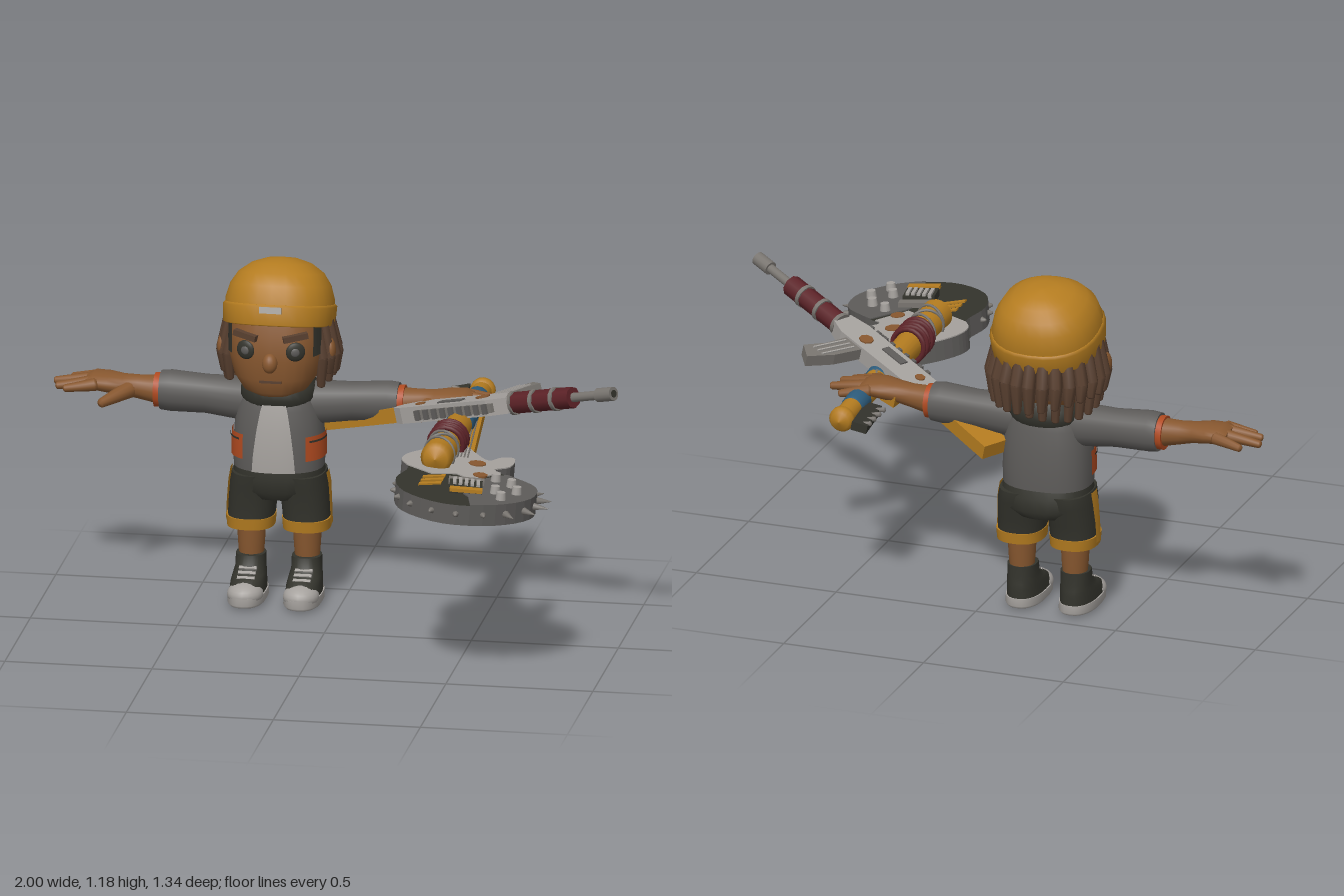
import * as THREE from 'three';

const mat = (name, color) => Object.assign(new THREE.MeshStandardMaterial({ color, side: THREE.DoubleSide }), { name });
const V = (x, y, z) => new THREE.Vector3(x, y, z);

function add(parent, name, geo, material, pos = [0, 0, 0], rot = [0, 0, 0], scale = [1, 1, 1]) {
  const m = new THREE.Mesh(geo, material);
  m.name = name;
  m.position.set(...pos); m.rotation.set(...rot); m.scale.set(...scale);
  parent.add(m);
  return m;
}

// Skin over rings [y, rx, rz, cx, cz]; arc(i) gives [from, to] angles measured from +z
function loft(rings, { n = 28, p = 2.4, arc, grow = 0 } = {}) {
  const pos = [], idx = [], w = n + 1;
  const se = v => Math.sign(v) * Math.abs(v) ** (2 / p);
  rings.forEach(([y, rx, rz, cx = 0, cz = 0], i) => {
    const [a, b] = arc ? arc(i) : [0, Math.PI * 2];
    for (let j = 0; j <= n; j++) {
      const t = a + (b - a) * (arc ? j : j % n) / n;
      pos.push(cx + (rx + grow) * se(Math.sin(t)), y, cz + (rz + grow) * se(Math.cos(t)));
    }
  });
  for (let i = 0; i < rings.length - 1; i++) for (let j = 0; j < n; j++) {
    const a = i * w + j, b = arc ? a + 1 : i * w + (j + 1) % n;
    idx.push(a, b, a + w, b, b + w, a + w);
  }
  if (!arc) [0, rings.length - 1].forEach((r, top) => {
    const start = pos.length / 3, [y, , , cx = 0, cz = 0] = rings[r];
    pos.push(cx, y, cz);
    for (let j = 0; j < n; j++) pos.push(...pos.slice((r * w + j) * 3, (r * w + j) * 3 + 3));
    for (let j = 0; j < n; j++) {
      const a = start + 1 + j, b = start + 1 + (j + 1) % n;
      idx.push(start, ...(top ? [a, b] : [b, a]));
    }
  });
  const g = new THREE.BufferGeometry();
  g.setAttribute('position', new THREE.Float32BufferAttribute(pos, 3));
  g.setIndex(idx);
  g.computeVertexNormals();
  return g;
}

// Rounded, tapering rod from a to b
function limb(a, b, r0, r1, n = 10) {
  const L = a.distanceTo(b);
  const pts = [[0, -r0 * .6], [r0 * .75, -r0 * .35], [r0, 0], [r1, L], [r1 * .75, L + r1 * .35], [0, L + r1 * .6]];
  const g = new THREE.LatheGeometry(pts.map(q => new THREE.Vector2(...q)), n);
  g.applyQuaternion(new THREE.Quaternion().setFromUnitVectors(V(0, 1, 0), b.clone().sub(a).normalize()));
  return g.translate(a.x, a.y, a.z);
}
const box = (x, y, z) => new THREE.BoxGeometry(x, y, z);
const ball = () => new THREE.SphereGeometry(1, 20, 14);
const shapeOf = pts => new THREE.Shape(pts.map(p => new THREE.Vector2(...p)));
const plate = (pts, depth) => new THREE.ExtrudeGeometry(shapeOf(pts), { depth, bevelEnabled: false });

export function createModel() {
  const gold = mat('gold', 0xb47c20), skin = mat('skin', 0x87572f), hair = mat('hair', 0x594030);
  const grey = mat('jacketGrey', 0x5d5b59), dark = mat('charcoal', 0x33332c), pale = mat('paleGrey', 0xa5a19d);
  const orange = mat('orange', 0xb04a20), red = mat('darkRed', 0x5c2227), blue = mat('blue', 0x2d5c7c), steel = mat('steel', 0x78746f);
  const model = new THREE.Group();
  const body = new THREE.Group();
  body.name = 'character';
  body.position.set(-.22, 0, -.39);
  model.add(body);

  // Torso, open jacket front, pockets and collar
  const torso = [[.46, .152, .127], [.52, .154, .128], [.6, .15, .122], [.67, .14, .112], [.72, .12, .1], [.755, .09, .08]];
  add(body, 'jacket', loft(torso), grey);
  const shirtHalf = [.42, .38, .32, .26, .2, .2];
  add(body, 'shirt', loft(torso.slice(0, 5), { n: 10, grow: .004, arc: i => [-shirtHalf[i], shirtHalf[i]] }), pale);
  const pocket = [[.5, .154, .128], [.54, .154, .127], [.585, .152, .124]];
  for (const s of [1, -1]) {
    const mid = s * 1.15;
    add(body, 'pocket', loft(pocket, { n: 10, grow: .006, arc: () => [mid - .48, mid + .48] }), orange);
    add(body, 'pocketSlit', loft([[.565, .154, .126], [.572, .154, .126]], { n: 8, grow: .009, arc: () => [mid - .38, mid + .38] }), dark);
  }
  add(body, 'collar', loft([[.685, .118, .108], [.71, .13, .12], [.745, .126, .118], [.77, .1, .1]]), dark);

  // Head and face
  const head = [[.735, .06, .07, 0, .08], [.752, .11, .125, 0, .045], [.8, .145, .162, 0, .022], [.87, .163, .176, 0, .015],
    [.95, .165, .176, 0, .012], [1.04, .15, .155]];
  add(body, 'head', loft(head, { p: 2.6 }), skin);
  add(body, 'nose', ball(), skin, [0, .865, .192], [-.2, 0, 0], [.026, .034, .026]);
  add(body, 'mouth', box(.075, .008, .012), hair, [0, .797, .181]);
  for (const s of [1, -1]) {
    add(body, 'eye', ball(), dark, [s * .085, .905, .176], [0, s * .35, 0], [.033, .033, .011]);
    add(body, 'iris', ball(), grey, [s * .085, .905, .182], [0, s * .35, 0], [.017, .017, .008]);
    add(body, 'eyebrow', box(.085, .02, .022), hair, [s * .085, .956, .178], [0, s * .35, s * .16]);
    add(body, 'ear', ball(), skin, [s * .178, .88, .05], [0, s * .3, 0], [.022, .045, .036]);
    add(body, 'sideburn', loft([[.88, .163, .176, 0, .014], [.99, .163, .17, 0, .01]],
      { n: 6, p: 2.6, grow: .004, arc: () => [s * 1.05 - .15, s * 1.05 + .15] }), dark);
  }

  // Hair shell and hanging locks in two staggered layers
  add(body, 'hairShell', loft(head.slice(2), { p: 2.6, grow: .01, arc: () => [1.5, Math.PI * 2 - 1.5] }), hair);
  const wob = i => Math.sin(i * 12.9898) * .5 + .5;
  for (let layer = 0; layer < 2; layer++) for (let i = 0; i < 17; i++) {
    const t = 1.08 + (i + layer * .5) * (Math.PI * 2 - 2.16) / (17 - 1 + layer), k = wob(i + layer * 20);
    const at = (r, y, back) => V(Math.sin(t) * r, y, Math.cos(t) * r - back);
    const bottom = .735 + k * .05 + layer * .025, r = .165 + layer * .012;
    const mid = at(r + .016, .86, .004);
    add(body, 'lock', limb(at(r - .012, 1.0 - (1 - Math.cos(t)) * .02, 0), mid, .022, .022, 7), hair);
    add(body, 'lock', limb(mid, at(r + .003 + k * .012, bottom, .012), .022, .014, 7), hair);
  }

  // Tilted beanie with folded band and tag
  const cap = new THREE.Group();
  cap.name = 'beanie';
  cap.position.set(0, .953, .004); cap.rotation.x = -.24;
  body.add(cap);
  add(cap, 'crown', loft([[.03, .18, .185], [.08, .182, .186], [.13, .168, .173], [.17, .142, .145, 0, -.004],
    [.2, .1, .105, 0, -.008], [.216, .05, .055, 0, -.01], [.22, .005, .005, 0, -.01]], { p: 2.3 }), gold);
  add(cap, 'band', loft([[-.004, .176, .182], [0, .186, .193], [.06, .19, .196], [.068, .182, .188]], { p: 2.3 }), gold);
  add(cap, 'tag', box(.075, .022, .008), pale, [0, .05, .197]);

  // Arms, hands, legs and shoes, mirrored
  for (const s of [1, -1]) {
    const side = new THREE.Group();
    side.name = s > 0 ? 'leftLimbs' : 'rightLimbs';
    side.scale.x = s;
    body.add(side);
    const along = rings => loft(rings, { p: 2.1, n: 20 }).rotateZ(-Math.PI / 2);
    add(side, 'sleeve', along([[.06, .075, .07, -.672], [.13, .074, .066, -.678, -.01], [.25, .066, .058, -.685, -.015],
      [.37, .07, .064, -.69, -.015], [.405, .066, .062, -.69, -.015]]), grey);
    add(side, 'cuff', along([[.4, .058, .056, -.69, -.015], [.425, .058, .056, -.69, -.015]]), orange);
    add(side, 'forearm', along([[.4, .05, .05, -.69, -.015], [.48, .04, .042, -.698, -.012], [.53, .035, .05, -.705, -.008],
      [.58, .034, .066, -.712, -.008], [.63, .03, .068, -.716, -.01], [.655, .016, .058, -.716, -.01]]), skin);
    const fingers = [[.62, -.062, .715, -.085], [.64, -.024, .765, -.028], [.64, .018, .75, .03], [.62, .048, .72, .058]];
    for (const [x0, z0, x1, z1] of fingers) add(side, 'finger', limb(V(x0, .715, z0), V(x1, .7, z1), .022, .013), skin);
    add(side, 'thumb', limb(V(.51, .695, .02), V(.585, .675, .125), .03, .016), skin);

    const leg = [[.26, .078, .09, .095, .002], [.33, .08, .095, .09], [.4, .08, .115, .085, -.006], [.44, .078, .118, .08, -.004]];
    add(side, 'shortsLeg', loft(leg), dark);
    add(side, 'shortsHem', loft([[.245, .08, .092, .095, .002], [.283, .083, .096, .095, .002]]), gold);
    add(side, 'shortsStripe', loft(leg, { n: 4, p: 2.1, grow: .007, arc: () => [Math.PI / 2 - .2, Math.PI / 2 + .2] }), gold);
    add(side, 'shin', loft([[.12, .04, .044, .095], [.18, .045, .05, .095], [.27, .05, .055, .095]], { p: 2 }), skin);
    add(side, 'sole', loft([[0, .06, .122, .095, .068], [.008, .065, .128, .095, .068], [.034, .064, .126, .095, .068]]), pale);
    add(side, 'shoe', loft([[.034, .06, .12, .095, .066], [.065, .058, .108, .095, .054], [.085, .055, .084, .095, .032],
      [.105, .051, .062, .095, .013], [.147, .05, .056, .095, .008]]), dark);
    add(side, 'toeCap', ball(), pale, [.095, .034, .125], [0, 0, 0], [.061, .042, .069]);
    for (let i = 0; i < 3; i++) add(side, 'lace', box(.06, .01, .012), pale, [.095, .082 + i * .012, .112 - i * .02], [.5, 0, 0]);
  }
  add(body, 'shortsSeat', loft([[.355, .1, .105, 0, -.01], [.385, .15, .125, 0, -.01], [.43, .157, .125, 0, -.005], [.475, .145, .115]]), dark);

  // Guitar body: outline in (x, z), laid flat and slightly tilted
  const guitar = new THREE.Group();
  guitar.name = 'guitar';
  guitar.position.set(.55, .602, 0); guitar.rotation.z = -.08;
  model.add(guitar);
  const outline = [[.39, .08], [.31, .18], [.3, .25], [.335, .32], [.315, .45], [.365, .58], [.515, .66], [.685, .615], [.785, .5],
    [.78, .375], [.685, .29], [.615, .24], [.66, .185], [.655, .09], [.615, .1], [.58, .15], [.52, .08], [.48, .03]];
  const pts = new THREE.CatmullRomCurve3(outline.map(([x, z]) => V(x - .55, -z, 0)), true).getPoints(72).slice(0, 72).map(p => [p.x, p.y]);
  const flat = (name, points, depth, y, m) => add(guitar, name, plate(points, depth).rotateX(-Math.PI / 2), m, [0, y, 0]);
  const pt = (x, z) => [x - .55, -z];
  flat('guitarBody', pts, .07, 0, [dark, grey]);
  flat('paleTop', [...pts.slice(0, 12), pt(.42, .36), pt(.5, .33), pt(.56, .37), ...pts.slice(42)], .004, .07, pale);
  flat('greyTop', [pt(.57, .38), pt(.52, .48), pt(.58, .56), ...pts.slice(26, 42)], .004, .07, grey);
  for (let i = 0; i < 3; i++)
    flat('warningStripe', [pt(.4, .4 + i * .04), pt(.47, .36 + i * .04), pt(.47, .38 + i * .04), pt(.4, .42 + i * .04)], .006, .07, gold);
  for (const [x, z, r] of [[.4, .2, .025], [.55, .2, .03], [.58, .32, .025]])
    add(guitar, 'rustSpot', new THREE.CylinderGeometry(r, r, .006, 9), skin, [x - .55, .074, z]);
  add(guitar, 'pickup', box(.12, .018, .035), steel, [0, .08, .42], [0, .15, 0]);
  add(guitar, 'bridge', box(.11, .03, .08), dark, [.01, .08, .49], [0, .15, 0]);
  add(guitar, 'bridgeBar', box(.11, .012, .03), gold, [.02, .092, .55], [0, .15, 0]);
  for (let i = 0; i < 5; i++) add(guitar, 'saddle', box(.012, .014, .06), pale, [-.03 + i * .02, .096, .485], [0, .15, 0]);
  for (const [x, z] of [[.64, .36], [.7, .4], [.66, .49], [.73, .47], [.69, .55]])
    add(guitar, 'knob', new THREE.CylinderGeometry(.015, .018, .03, 12), pale, [x - .55, .085, z]);
  for (let i = 15; i < 40; i += 2) {
    const [x, y] = pts[i], a = pts[i - 1], b = pts[i + 1];
    const out = V(b[1] - a[1], 0, b[0] - a[0]).normalize(), base = V(x, .038, -y);
    const big = i >= 28 && i < 38;
    add(guitar, big ? 'spike' : 'stud', limb(base, base.clone().addScaledVector(out, big ? .05 : .014), big ? .013 : .011, big ? .001 : .005, 8), steel);
  }

  // Bat used as the neck, with tape wraps, a fretted strip and a headstock
  const bat = new THREE.Group();
  bat.name = 'batNeck';
  model.add(bat);
  const ax = t => V(.43, .715 - .04 * t, .28 - .9 * t), rad = t => .054 - .02 * t;
  add(bat, 'bat', limb(ax(0), ax(1), rad(0), rad(1), 20), gold);
  add(bat, 'batKnob', limb(ax(1), ax(1.02), .043, .043, 20), gold);
  for (const [a, b] of [[.5, .56], [.57, .64], [.82, .9]]) add(bat, 'blueTape', limb(ax(a), ax(b), rad(a) + .004, rad(b) + .004, 16), blue);
  for (let i = 0; i < 5; i++)
    add(bat, 'redCord', new THREE.TorusGeometry(.058, .009, 8, 20), red, ax(.21 + i * .025).toArray(), [.1, i % 2 * .16 - .08, 0]);
  for (let i = 0; i < 3; i++)
    add(bat, 'wire', new THREE.TorusGeometry(.057, .005, 6, 20), steel, ax(.07 + i * .045).toArray(), [0, i % 2 ? .35 : -.35, 0]);
  add(bat, 'fretStrip', box(.06, .035, .62), gold, [.465, .658, -.19], [0, .1, 0]);
  for (let i = 0; i < 3; i++) add(bat, 'string', limb(V(.49 + i * .012, .68, .15), V(.45 + i * .01, .68, -.3), .003, .003, 5), steel);
  add(bat, 'headstock', box(.055, .03, .19), dark, [.366, .665, -.57], [0, .1, .2]);
  for (let i = 0; i < 4; i++) add(bat, 'tuningPeg', limb(V(.36, .67, -.64 + i * .045), V(.325, .675, -.64 + i * .045), .007, .009, 8), steel);

  // Rifle lying on its side: local x runs along the barrel, local -y towards the magazine
  const rifle = new THREE.Group();
  rifle.name = 'rifle';
  const X = V(1.07, .325, .58).normalize(), Y = V(-X.z, 0, X.x).normalize();
  rifle.applyMatrix4(new THREE.Matrix4().makeBasis(X, Y, X.clone().cross(Y)).setPosition(-.07, .585, -.495));
  model.add(rifle);
  const slab = (name, points, d, m) => add(rifle, name, plate(points, d), m, [0, 0, -d / 2]);
  slab('stock', [[0, -.055], [.1, -.05], [.34, -.035], [.34, .035], [.03, .05], [0, .05]], .05, gold);
  slab('receiver', [[.32, -.035], [.4, -.055], [.76, -.055], [.82, -.035], [.82, .04], [.74, .055], [.36, .05], [.32, .035]], .055, pale);
  slab('grip', [[.4, -.05], [.46, -.05], [.43, -.15], [.37, -.14]], .04, gold);
  slab('magazine', [[.65, -.05], [.73, -.05], [.735, -.14], [.76, -.22], [.7, -.255], [.665, -.16]], .04, steel);
  for (let i = 0; i < 3; i++) slab('magazineRib', [[.668 + i * .022, -.07], [.674 + i * .022, -.07], [.69 + i * .022, -.2], [.684 + i * .022, -.2]], .05, pale);
  add(rifle, 'triggerGuard', new THREE.TorusGeometry(.03, .006, 6, 16, Math.PI), steel, [.52, -.055, 0], [0, 0, Math.PI]);
  add(rifle, 'rail', box(.34, .016, .03), steel, [.6, .06, 0]);
  for (let i = 0; i < 9; i++) add(rifle, 'railTooth', box(.018, .012, .034), grey, [.45 + i * .037, .072, 0]);
  for (const z of [-1, 1]) {
    add(rifle, 'ejectionPort', box(.1, .03, .006), grey, [.56, .015, z * .029]);
    add(rifle, 'rustPatch', new THREE.CylinderGeometry(.025, .025, .006, 8), skin, [.68, -.01, z * .029], [Math.PI / 2, 0, 0]);
    add(rifle, 'rustPatch', new THREE.CylinderGeometry(.018, .018, .006, 7), skin, [.42, .01, z * .029], [Math.PI / 2, 0, 0]);
  }
  const rod = (name, a, b, r, m, n = 14) => add(rifle, name, new THREE.CylinderGeometry(r, r, b - a, n), m, [(a + b) / 2, 0, 0], [0, 0, Math.PI / 2]);
  rod('handguard', .82, 1.08, .037, red, 8);
  for (const a of [.815, .91, 1.0]) rod('handguardRing', a, a + .014, .041, steel);
  rod('barrel', 1.05, 1.25, .016, steel);
  rod('muzzle', 1.19, 1.258, .024, steel);
  rod('bore', 1.255, 1.26, .013, dark);
  return model;
}
